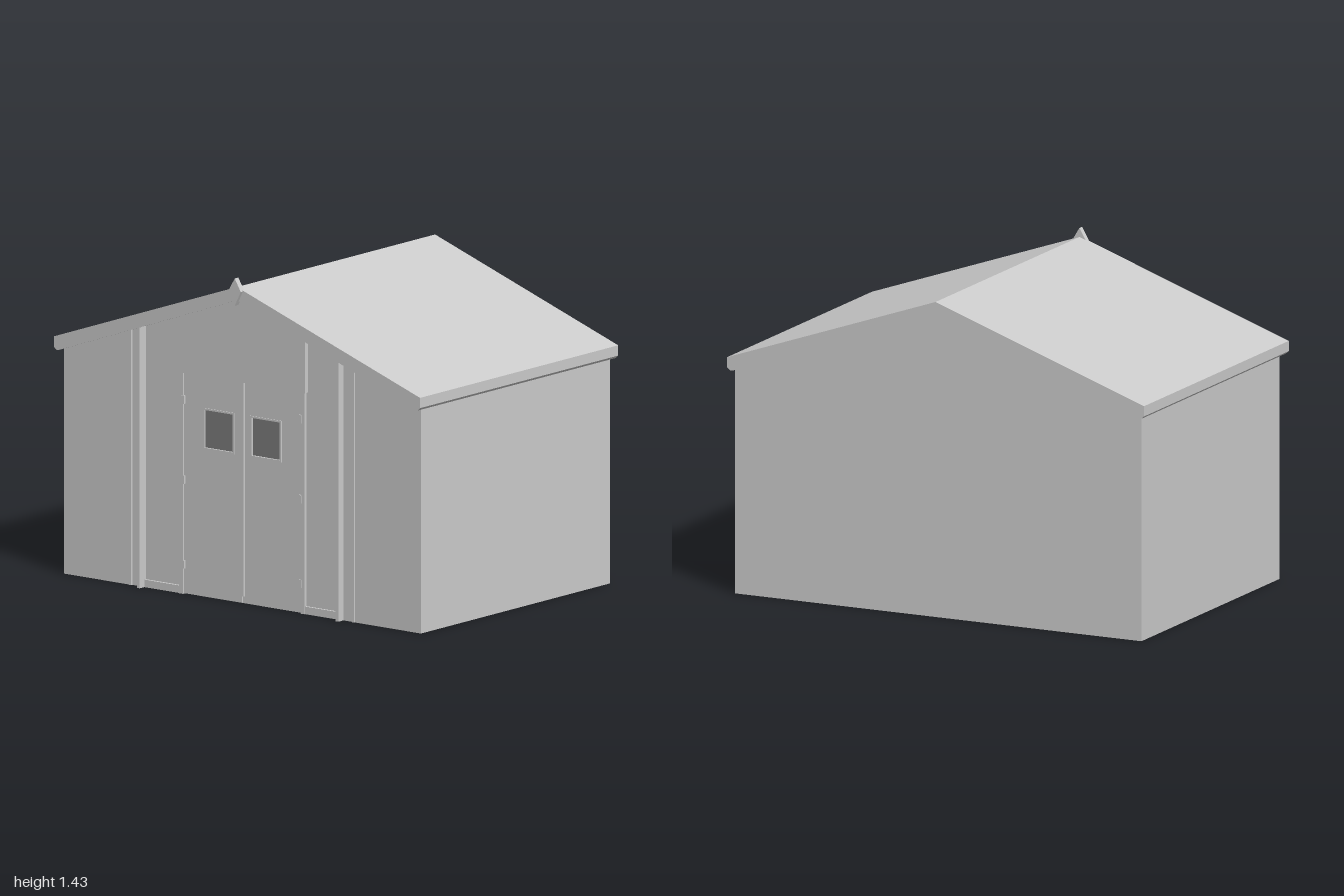
import * as THREE from 'three';

const grey = new THREE.MeshStandardMaterial({ color: 0xcccccc, flatShading: true });
const dark = new THREE.MeshStandardMaterial({ color: 0x7d7d7d, flatShading: true });

// underside of the roof at a given x
const eave = (x) => 1.337 - 0.355 * Math.abs(x);

export function createModel() {
  const shed = new THREE.Group();
  shed.name = 'shed';

  const add = (name, geometry, material = grey) => {
    const mesh = new THREE.Mesh(geometry, material);
    mesh.name = name;
    shed.add(mesh);
    return mesh;
  };
  // flat outline in x, y pushed from z0 to z1
  const plate = (name, points, z0, z1, holes = []) => {
    const shape = new THREE.Shape(points.map(([x, y]) => new THREE.Vector2(x, y)));
    for (const h of holes) shape.holes.push(new THREE.Path(h.map(([x, y]) => new THREE.Vector2(x, y))));
    const g = new THREE.ExtrudeGeometry(shape, { depth: z1 - z0, bevelEnabled: false });
    g.translate(0, 0, z0);
    return add(name, g);
  };
  const rect = (x0, x1, y0, y1) => [[x0, y0], [x1, y0], [x1, y1], [x0, y1]];
  const box = (name, x0, x1, y0, y1, z0, z1, material) => {
    const g = new THREE.BoxGeometry(x1 - x0, y1 - y0, z1 - z0);
    g.translate((x0 + x1) / 2, (y0 + y1) / 2, (z0 + z1) / 2);
    return add(name, g, material);
  };
  // upright board whose top follows the roof slope
  const board = (name, x0, x1, z0, z1) =>
    plate(name, [[x0, 0], [x1, 0], [x1, eave(x1)], [x0, eave(x0)]], z0, z1);

  // walls and floor as one gabled block
  plate('walls', [[-0.975, 0], [0.975, 0], [0.975, eave(0.975)], [0, eave(0)], [-0.975, eave(0.975)]], -0.66, 0.627);

  // roof slab with cut eave corners
  plate('roof', [
    [0, 1.39], [-1, 1.04], [-1, 0.995], [-0.985, 0.982], [-0.97, 0.985], [0, 1.332],
    [0.97, 0.985], [0.985, 0.982], [1, 0.995], [1, 1.04],
  ], -0.685, 0.675);

  // ridge ornament
  plate('ridgeOrnament', [[0, 1.31], [0.033, 1.375], [0, 1.43], [-0.033, 1.375]], 0.665, 0.69);

  // gable header above the doors
  plate('doorHeader', [[-0.35, 0.968], [0.35, 0.968], [0.35, eave(0.35)], [0, eave(0)], [-0.35, eave(0.35)]], 0.62, 0.648);

  for (const s of [-1, 1]) {
    const span = (a, b) => (s > 0 ? [a, b] : [-b, -a]);

    // outer wall panel and the upright channel beside it
    board('outerPanel', ...span(0.615, 0.975), 0.62, 0.637);
    board('channelWeb', ...span(0.55, 0.605), 0.62, 0.635);
    board('channelOuterFlange', ...span(0.603, 0.615), 0.62, 0.643);
    board('channelInnerFlange', ...span(0.535, 0.55), 0.62, 0.67);

    // narrow side panel with its bottom rail
    box('sideRail', ...span(0.342, 0.535), 0, 0.033, 0.62, 0.638);

    // door jamb
    box('doorJamb', ...span(0.32, 0.342), 0, 0.968, 0.62, 0.642);

    // door leaf with a window opening
    const [w0, w1] = span(0.047, 0.21);
    plate('doorLeaf', rect(...span(0.002, 0.32), 0.004, 0.966), 0.62, 0.636, [rect(w0, w1, 0.65, 0.823)]);
    box('windowPane', w0, w1, 0.65, 0.823, 0.62, 0.63, dark);

    // thin window surround
    plate('windowFrame', rect(w0 - 0.004, w1 + 0.004, 0.646, 0.827), 0.63, 0.64, [rect(w0 + 0.004, w1 - 0.004, 0.654, 0.819)]);

    // hinges
    for (const y of [0.13, 0.5, 0.85]) {
      box('hinge', ...span(0.312, 0.326), y - 0.018, y + 0.018, 0.63, 0.645);
    }
  }

  // batten covering the gap between the doors
  box('centreBatten', -0.013, 0.013, 0.033, 0.968, 0.62, 0.647);

  return shed;
}
